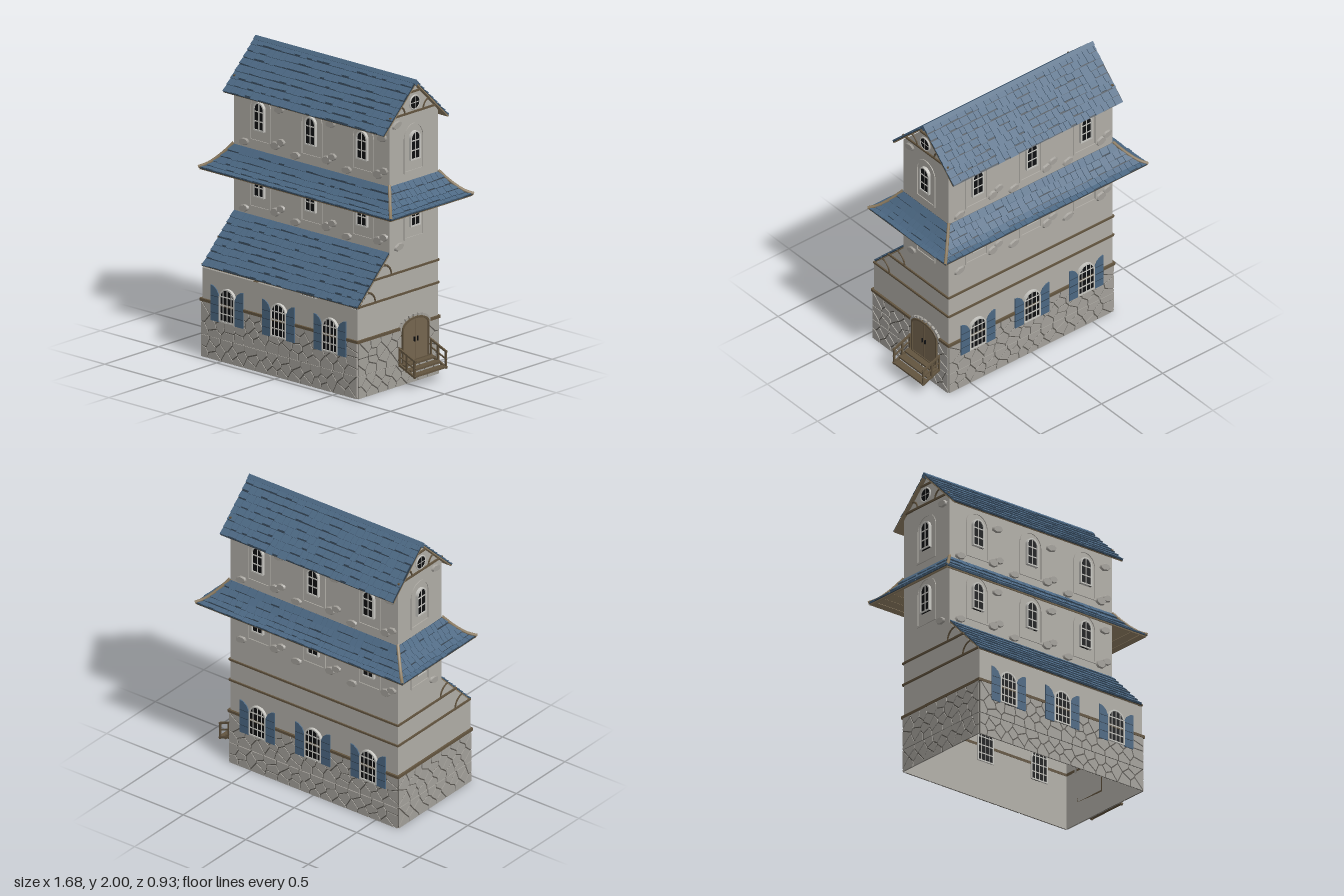
import * as THREE from 'three';
import { mergeGeometries } from 'three/addons/utils/BufferGeometryUtils.js';

const mat = (name, color, side = THREE.FrontSide) => Object.assign(new THREE.MeshStandardMaterial({ color, side }), { name });
const M = {
  blue: mat('slate blue', 0x4b6782), gap: mat('dark slate', 0x2a3947),
  plaster: mat('plaster', 0xb0ada6, THREE.DoubleSide), stone: mat('stone', 0xa3a09a),
  mortar: mat('mortar', 0x5a5751), wood: mat('dark wood', 0x62543f),
  pale: mat('pale wood', 0x8d7c61), door: mat('door wood', 0x75654f),
  glass: mat('dark glass', 0x0e0f11), frame: mat('window frame', 0xc6c5c0),
};
const CZ = -0.07, HX = 0.67, HZ = 0.225; // tower centre and half sizes
const COLS = [-0.443, 0, 0.443]; // window columns

let seed = 7;
const rnd = () => (seed = (seed * 16807) % 2147483647) / 2147483647;
const jit = (a) => (rnd() - 0.5) * a;

function add(parent, name, geo, material, x = 0, y = 0, z = 0) {
  const m = new THREE.Mesh(geo, material);
  m.name = name;
  m.position.set(x, y, z);
  parent.add(m);
  return m;
}
const box = (p, name, w, h, d, m, x, y, z) => add(p, name, new THREE.BoxGeometry(w, h, d), m, x, y, z);
function group(parent, name, x = 0, y = 0, z = 0, rotY = 0) {
  const g = new THREE.Group();
  g.name = name;
  g.position.set(x, y, z);
  g.rotation.y = rotY;
  parent.add(g);
  return g;
}

// arched outline standing on y = y0
function arch(w, h, rise = w / 2, y0 = 0) {
  const s = new THREE.Shape();
  s.moveTo(-w / 2, y0).lineTo(w / 2, y0).lineTo(w / 2, y0 + h - rise);
  return s.absellipse(0, y0 + h - rise, w / 2, rise, 0, Math.PI, false, 0);
}
const slab = (s, z0, z1) =>
  new THREE.ExtrudeGeometry(s, { depth: z1 - z0, bevelEnabled: false, curveSegments: 10 }).translate(0, 0, z0);
function archFrame(w, h, t, z0, z1, rise = w / 2) {
  const s = arch(w, h, rise);
  s.holes.push(arch(w - 2 * t, h - 2 * t, rise - t / 2, t));
  return slab(s, z0, z1);
}

// arched window with glazing bars, cols and rows of panes
function archWindow(p, x, y, w, h, cols, rows) {
  const g = group(p, 'window', x, y);
  add(g, 'glass', slab(arch(w - 0.008, h - 0.006), -0.005, 0.013), M.glass);
  add(g, 'windowFrame', archFrame(w, h, 0.009, -0.009, 0.02), M.frame);
  for (let i = 1; i < cols; i++) {
    const bx = -w / 2 + (w * i) / cols, top = h - w / 2 + Math.sqrt(w * w / 4 - bx * bx);
    box(g, 'uprightBar', 0.005, top - 0.004, 0.024, M.frame, bx, top / 2, 0.005);
  }
  for (let i = 1; i < rows; i++) box(g, 'crossBar', w - 0.012, 0.007, 0.024, M.frame, 0, (h * i) / rows, 0.005);
}
function upperWindow(p, x, y) {
  archWindow(p, x, y, 0.092, 0.19, 2, 3);
  add(p, 'archSurround', archFrame(0.186, 0.32, 0.012, 0, 0.006), M.plaster, x, y - 0.08, 0);
}

// window with a pair of open shutters
function shutterWindow(p, x) {
  archWindow(p, x, 0.265, 0.135, 0.225, 4, 4);
  const leaf = new THREE.Shape([[0, 0], [0.07, 0], [0.07, 0.235], [0.045, 0.23], [0.018, 0.21], [0, 0.175]]
    .map(([a, b]) => new THREE.Vector2(a, b)));
  for (const s of [-1, 1]) {
    const g = group(p, 'shutter', x + s * 0.069, 0.26);
    g.scale.x = s;
    add(g, 'shutterLeaf', slab(leaf, 0.011, 0.018), M.blue);
    for (const y of [0.055, 0.11, 0.165]) box(g, 'shutterGroove', 0.066, 0.003, 0.002, M.gap, 0.035, y, 0.0185);
  }
}

// stone protruding from the plaster
function rubble(p, x, y, w = 0.09, h = 0.05) {
  const g = new THREE.CylinderGeometry(0.42, 0.52, 0.014, 7).rotateX(Math.PI / 2).rotateZ(rnd()).scale(w, h, 1);
  add(p, 'rubbleStone', g, M.stone, x, y, 0.006).rotation.z = 0.25;
}

// irregular masonry: cells around jittered points, with mortar between
function masonry(p, x0, x1, y0, y1, rows) {
  const cols = Math.round((x1 - x0) / 0.095), pts = [], geos = [];
  for (let r = 0; r < rows; r++) for (let c = 0; c < cols; c++) pts.push(new THREE.Vector2(
    x0 + ((c + 0.5 + (r % 2 ? 0.22 : -0.22) + jit(0.5)) / cols) * (x1 - x0), y0 + ((r + 0.5 + jit(0.55)) / rows) * (y1 - y0)));
  for (const s of pts) {
    let poly = [[x0, y0], [x1, y0], [x1, y1], [x0, y1]].map((a) => new THREE.Vector2(...a));
    for (const q of pts) {
      if (q === s || q.distanceTo(s) > 0.4) continue;
      const d = q.clone().sub(s), lim = d.length() / 2 - 0.004;
      d.normalize();
      const side = (v) => d.dot(v.clone().sub(s)) - lim;
      poly = poly.flatMap((a, i) => {
        const b = poly[(i + 1) % poly.length], A = side(a), B = side(b);
        return [...(A <= 0 ? [a] : []), ...(A * B < 0 ? [a.clone().lerp(b, A / (A - B))] : [])];
      });
    }
    if (poly.length > 2) geos.push(slab(new THREE.Shape(poly), 0.003, 0.01));
  }
  add(p, 'masonryStones', mergeGeometries(geos), M.stone);
  box(p, 'mortarBed', x1 - x0, y1 - y0, 0.004, M.mortar, (x0 + x1) / 2, (y0 + y1) / 2, 0.003);
}
function stoneBase(p, x0, x1) {
  masonry(p, x0, x1, 0, 0.145, 3);
  masonry(p, x0, x1, 0.15, 0.37, 4);
  box(p, 'sillBeam', x1 - x0 + 0.02, 0.018, 0.016, M.wood, (x0 + x1) / 2, 0.376, 0.006);
}

// one roof slope: prof(t) gives [outward, height], half(t) the half length
function slope(p, name, rows, prof, half, z, rotY) {
  const g = group(p, name, 0, 0, z, rotY), tiles = [], bed = [], soffit = [];
  const tile = (a, b, t0, t1, lo, hi0, hi1) => {
    const geo = new THREE.BoxGeometry(1, 1, 1), P = geo.attributes.position;
    const [o0, h0] = prof(t0), [o1, h1] = prof(t1), L = Math.hypot(o1 - o0, h1 - h0);
    for (let i = 0; i < P.count; i++) {
      const low = P.getZ(i) > 0, H = half(low ? t1 : t0), lift = P.getY(i) < 0 ? lo : low ? hi1 : hi0;
      P.setXYZ(i, THREE.MathUtils.clamp(P.getX(i) < 0 ? a : b, -H, H),
        (low ? h1 : h0) + (lift * (o1 - o0)) / L, (low ? o1 : o0) + (lift * (h0 - h1)) / L);
    }
    geo.computeVertexNormals();
    return geo;
  };
  for (let r = 0; r < rows; r++) {
    const t0 = r / rows, t1 = (r + 1) / rows, H = half(t1);
    bed.push(tile(-H, H, t0, t1, 0, 0.004, 0.004));
    soffit.push(tile(-H, H, t0, t1, -0.008, 0, 0));
    for (let x = -H, end; x < H - 0.012; x = end) {
      end = Math.min(x + 0.036 + rnd() * 0.032, H);
      if (Math.abs(x + end) / 2 < half(t0) + 0.02)
        tiles.push(tile(x, end - 0.003, t0, t1 + (jit(0.3) - 0.08) / rows, 0.002, 0.007, 0.014));
    }
  }
  add(g, 'shingles', mergeGeometries(tiles), M.blue);
  add(g, 'roofBed', mergeGeometries(bed), M.gap);
  add(g, 'soffit', mergeGeometries(soffit), M.pale);
}

// door with stone arch, steps and railings
function entrance(p) {
  const g = group(p, 'entrance', -CZ);
  add(g, 'doorLeaf', slab(arch(0.23, 0.28, 0.055), 0, 0.016), M.door, 0, 0.145, 0);
  add(g, 'doorFrame', archFrame(0.25, 0.292, 0.012, 0, 0.022, 0.06), M.wood, 0, 0.14, 0);
  box(g, 'doorSplit', 0.004, 0.26, 0.004, M.wood, 0, 0.28, 0.016);
  for (const s of [-1, 1]) box(g, 'doorHandle', 0.006, 0.03, 0.01, M.glass, s * 0.014, 0.285, 0.02);
  for (let i = 0; i <= 10; i++) {
    const x = 0.132 * Math.cos((Math.PI * i) / 10), y = 0.068 * Math.sin((Math.PI * i) / 10);
    box(g, 'archStone', 0.026, 0.016, 0.018, M.stone, x, 0.372 + y, 0.006).rotation.z = Math.atan2(-x * 0.5, y * 2);
  }
  for (let i = 0; i < 3; i++) box(g, 'step', 0.28, 0.012, 0.05, M.wood, 0, 0.14 - i * 0.024, 0.035 + i * 0.046);
  for (const x of [-0.145, 0.145]) {
    for (const [name, y, th] of [['stringer', 0.115, 0.014], ['midRail', 0.17, 0.008], ['handrail', 0.22, 0.012]])
      box(g, name, th, th, 0.157, M.wood, x, y, 0.078).rotation.x = 0.39;
    for (const [z, y] of [[0.012, 0.25], [0.075, 0.225], [0.142, 0.2]])
      box(g, 'railPost', 0.012, 0.12, 0.012, M.wood, x, y - 0.06, z);
  }
}

// gable end, local x runs towards the back
function gableEnd(root, side) {
  const mirror = group(root, side > 0 ? 'leftEnd' : 'rightEnd');
  mirror.scale.x = side;
  const g = group(mirror, 'endWallDetails', HX, 0, 0, Math.PI / 2);
  stoneBase(g, -0.45, 0.295);
  for (const y of [1.03, 1.47]) upperWindow(g, -CZ, y);
  for (const [x0, x1, y] of [[-0.445, 0.3, 0.603], [-0.3, 0.3, 0.752], [-0.155, 0.295, 1.785], [0.015, 0.125, 1.92]])
    box(g, 'wallBeam', x1 - x0, 0.012, 0.014, M.wood, (x0 + x1) / 2, y, 0.003);
  for (const [x, y, r, flip] of [[-0.215, 0.755, 0.075, 1], [-0.365, 0.605, 0.075, 1], [-0.075, 1.785, 0.06, 1], [0.215, 1.785, 0.06, -1]])
    add(g, 'curvedBrace', new THREE.TorusGeometry(r, 0.007, 4, 8, Math.PI / 2), M.wood, x, y, 0.003).scale.x = flip;
  const disc = new THREE.CylinderGeometry(0.043, 0.043, 0.014, 20).rotateX(Math.PI / 2);
  add(g, 'roundGlass', disc, M.glass, -CZ, 1.847, 0.004);
  add(g, 'roundFrame', new THREE.TorusGeometry(0.045, 0.006, 6, 20), M.frame, -CZ, 1.847, 0.008);
  for (const [w, h] of [[0.004, 0.085], [0.085, 0.004]]) box(g, 'roundBar', w, h, 0.004, M.frame, -CZ, 1.847, 0.011);
  rubble(g, -0.09, 1.73);
  rubble(g, -0.07, 0.92);
  if (side > 0) entrance(g);
}

export function createModel() {
  const root = new THREE.Group();
  root.name = 'house';
  // plaster shell, open underneath
  const prof = [[-0.295, 0], [-0.295, 1.745], [CZ, 1.965], [0.155, 1.745], [0.155, 0.88], [0.45, 0.585], [0.45, 0]];
  for (const s of [-1, 1]) {
    const shape = new THREE.Shape(prof.map(([z, y]) => new THREE.Vector2(-s * z, y)));
    add(root, 'endWall', new THREE.ShapeGeometry(shape), M.plaster, s * HX).rotation.y = (s * Math.PI) / 2;
  }
  for (const [i, n] of [[0, 'backWall'], [3, 'towerFrontWall'], [5, 'frontWall']]) {
    const [z, y0] = prof[i], y1 = prof[i + 1][1];
    const wall = new THREE.PlaneGeometry(2 * HX, Math.abs(y1 - y0));
    add(root, n, wall, M.plaster, 0, (y0 + y1) / 2, z).rotation.y = i ? 0 : Math.PI;
  }
  // details of the long walls and gable ends
  const front = group(root, 'groundFloorFront', 0, 0, 0.45), tower = group(root, 'towerFront', 0, 0, 0.155);
  const back = group(root, 'backDetails', 0, 0, -0.295, Math.PI);
  for (const w of [front, back]) {
    stoneBase(w, -HX, HX);
    for (const x of COLS) shutterWindow(w, x);
  }
  for (const w of [tower, back]) for (const x of COLS) for (const y of [1.03, 1.47]) {
    upperWindow(w, x, y);
    rubble(w, x - 0.14, y - 0.1);
    rubble(w, x + 0.13, y - 0.07, 0.085, 0.06);
    rubble(w, x + 0.18, y - 0.04, 0.075, 0.05);
    rubble(w, x + 0.165, y + 0.175);
  }
  for (const y of [0.603, 0.752]) box(back, 'wallBeam', 2 * HX + 0.01, 0.012, 0.014, M.wood, 0, y, 0.003);
  for (const s of [-1, 1]) gableEnd(root, s);
  // roofs
  for (const r of [0, Math.PI]) slope(root, 'mainRoof', 8, (t) => [0.3 * t, 1.982 - 0.29 * t], () => 0.693, CZ, r);
  box(root, 'ridgeCap', 1.39, 0.03, 0.03, M.blue, 0, 1.979, CZ).rotation.x = Math.PI / 4;
  slope(root, 'leanToRoof', 8, (t) => [0.152 + 0.298 * t, 0.895 - 0.298 * t], () => 0.668, 0, 0);
  const drop = (t) => 1.335 - 0.158 * (1 - Math.max(0, 1 - t) ** 1.5);
  for (let i = 0; i < 4; i++) {
    const [base, len] = i % 2 ? [HX, HZ] : [HZ, HX];
    // rotate about the tower axis
    slope(root, 'skirtRoof', 5, (t) => [base + 0.155 * t, drop(t)], (t) => len + 0.155 * t, CZ, (i * Math.PI) / 2);
  }
  for (const sx of [-1, 1]) for (const sz of [-1, 1]) {
    const pts = [0, 0.25, 0.5, 0.75, 1].map((t) =>
      new THREE.Vector3(sx * (HX + 0.16 * t), drop(t) + 0.01, CZ + sz * (HZ + 0.16 * t)));
    add(root, 'hipRidge', new THREE.TubeGeometry(new THREE.CatmullRomCurve3(pts), 8, 0.011, 6), M.pale);
  }
  return root;
}
